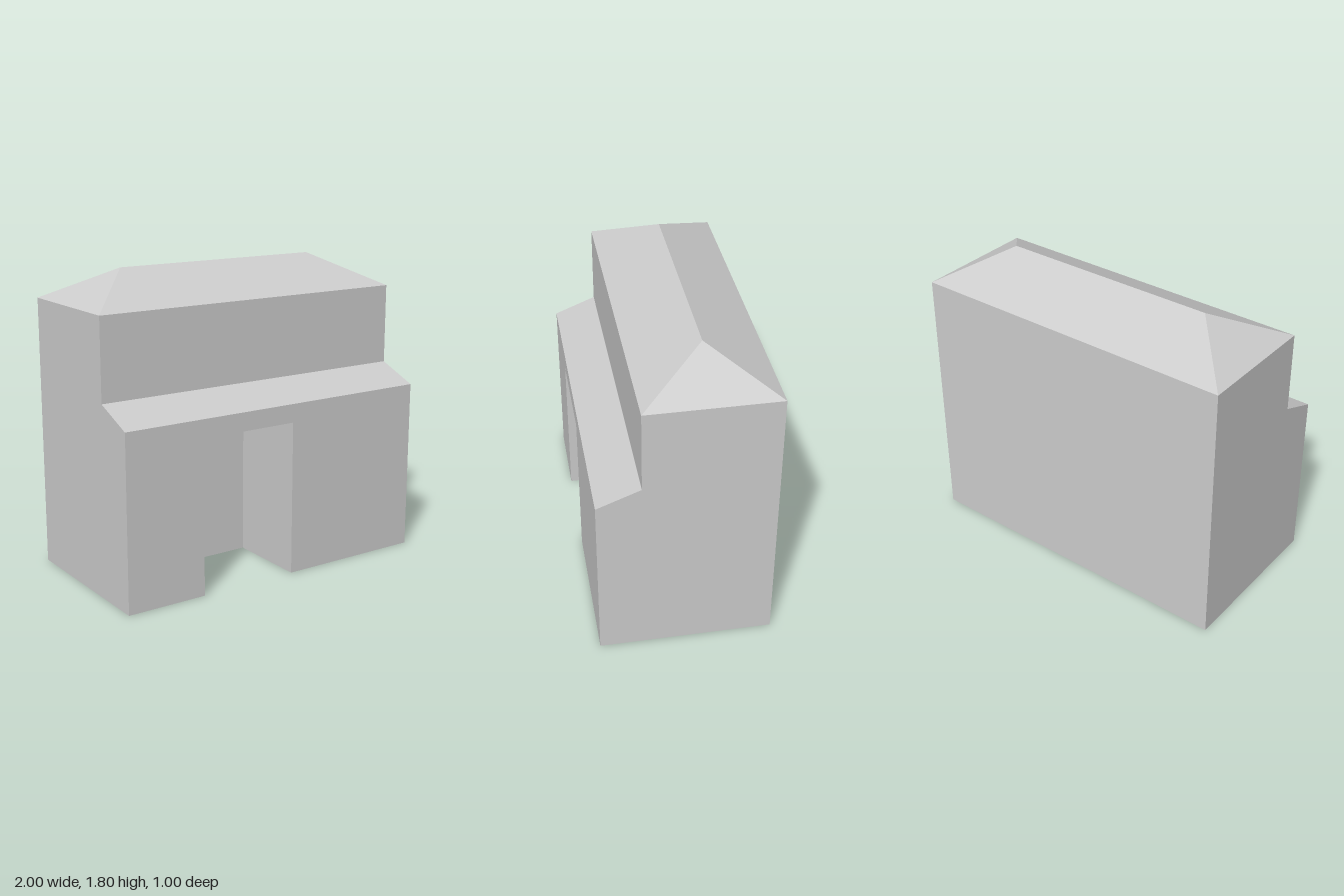
import * as THREE from 'three';

const LINTEL = 0.92, EAVE = 1.61, RIDGE = 1.8;
const FRONT = 0.5, BACK = -0.5, UPPER_FRONT = 0.25;

const material = new THREE.MeshStandardMaterial({ color: 0xcccccc, flatShading: true });

function part(name, geometry) {
  const mesh = new THREE.Mesh(geometry, material);
  mesh.name = name;
  return mesh;
}

function extrude(points, depth) {
  const shape = new THREE.Shape(points.map(([x, y]) => new THREE.Vector2(x, y)));
  return new THREE.ExtrudeGeometry(shape, { depth, bevelEnabled: false });
}

export function createModel() {
  const group = new THREE.Group();
  group.name = 'house';

  // Ground floor: plan (x, -z) with the doorway recess, extruded upward
  const plan = [
    [-1, -FRONT], [-0.51, -FRONT], [-0.51, 0], [0.1, 0],
    [0.1, -FRONT], [1, -FRONT], [1, -BACK], [-1, -BACK],
  ];
  group.add(part('groundFloorWalls', extrude(plan, LINTEL).rotateX(-Math.PI / 2)));

  // Upper walls: side profile (z, y) with the sloping ledge, extruded across x
  const profile = [
    [BACK, LINTEL], [FRONT, LINTEL], [FRONT, 1.03],
    [UPPER_FRONT, 1.13], [UPPER_FRONT, EAVE], [BACK, EAVE],
  ];
  group.add(part('upperWalls', extrude(profile, 2).rotateY(-Math.PI / 2).translate(1, 0, 0)));

  // Hipped roof: four eave corners and two ridge ends
  const ridgeZ = (UPPER_FRONT + BACK) / 2;
  const roof = new THREE.BufferGeometry();
  roof.setAttribute('position', new THREE.Float32BufferAttribute([
    -1, EAVE, UPPER_FRONT, 1, EAVE, UPPER_FRONT, 1, EAVE, BACK, -1, EAVE, BACK,
    -0.66, RIDGE, ridgeZ, 0.66, RIDGE, ridgeZ,
  ], 3));
  roof.setIndex([0, 1, 5, 0, 5, 4, 1, 2, 5, 2, 3, 4, 2, 4, 5, 3, 0, 4]);
  const flatRoof = roof.toNonIndexed();
  flatRoof.computeVertexNormals();
  group.add(part('hippedRoof', flatRoof));

  return group;
}
